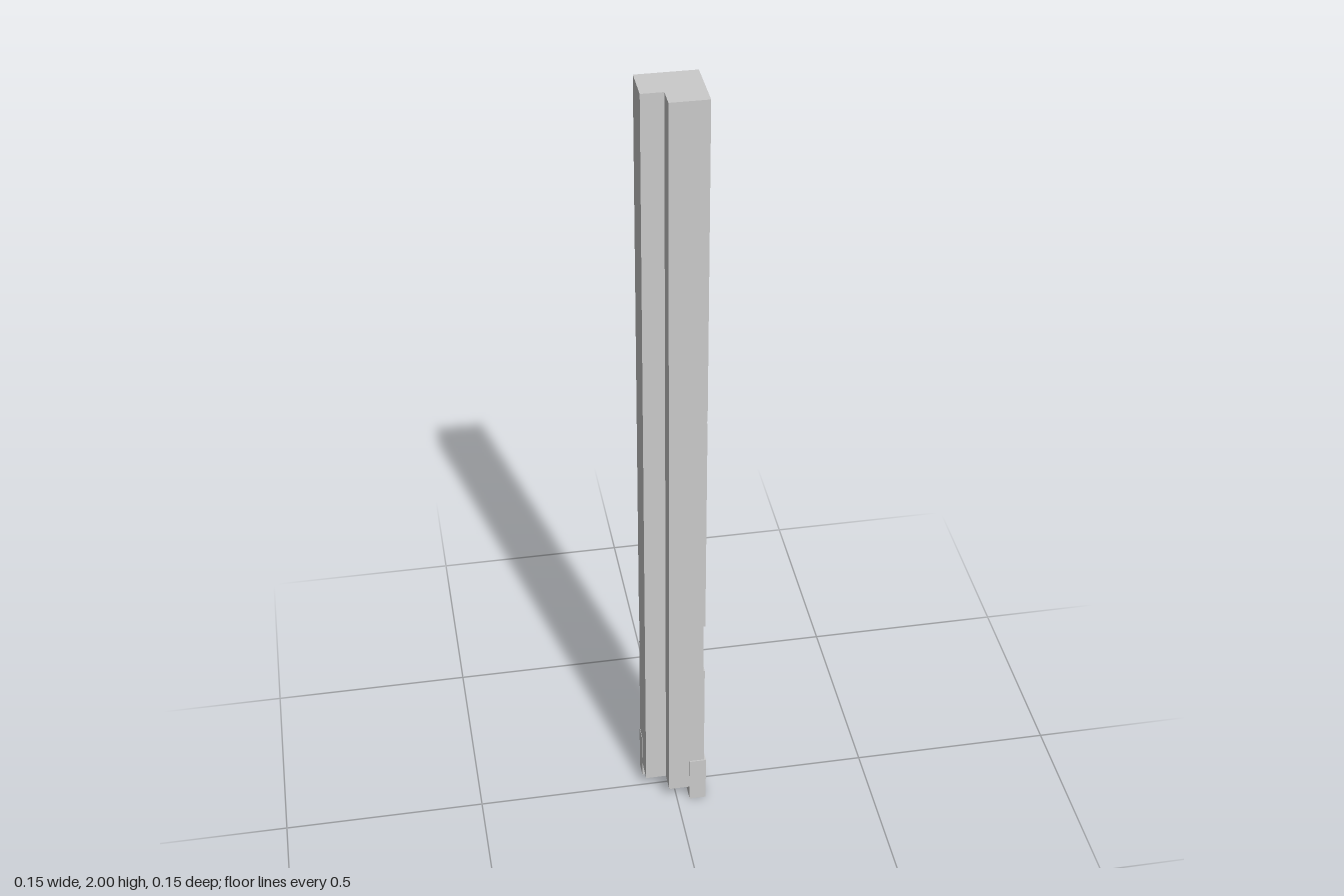
import * as THREE from 'three';

// Notched L outline as [x, z], counter-clockwise from above; inset pulls in the two outer faces
const outline = (inset) => {
  const x = 0.069 - inset, z = -0.071 + inset;
  return [[-0.073, 0.02], [-0.021, 0.02], [-0.021, 0.07], [x, 0.07], [x, z], [-0.073, z]];
};

// Flat-sided loft through [height, inset] rings, capped at both ends
function loft(levels) {
  const pos = [];
  const rings = levels.map(([y, inset]) => outline(inset).map(([x, z]) => [x, y, z]));
  for (let k = 0; k < rings.length - 1; k++) {
    const lo = rings[k], hi = rings[k + 1];
    lo.forEach((a, i) => {
      const j = (i + 1) % lo.length;
      pos.push(...a, ...lo[j], ...hi[j], ...a, ...hi[j], ...hi[i]);
    });
  }
  const top = rings[rings.length - 1], bottom = rings[0];
  const faces = THREE.ShapeUtils.triangulateShape(top.map((p) => new THREE.Vector2(p[0], -p[2])), []);
  for (const [a, b, c] of faces) {
    pos.push(...top[a], ...top[b], ...top[c], ...bottom[a], ...bottom[c], ...bottom[b]);
  }
  const geometry = new THREE.BufferGeometry();
  geometry.setAttribute('position', new THREE.Float32BufferAttribute(pos, 3));
  geometry.computeVertexNormals();
  return geometry;
}

export function createModel() {
  const group = new THREE.Group();
  const material = new THREE.MeshStandardMaterial({ color: 0xcccccc, flatShading: true });

  // Post with a shallow recessed band and a fine V-groove on its two outer faces
  const post = new THREE.Mesh(loft([
    [0.04, 0], [0.43, 0], [0.43, 0.004], [0.575, 0.004], [0.575, 0],
    [1.177, 0], [1.182, 0.004], [1.187, 0], [2, 0],
  ]), material);
  post.name = 'cornerPost';
  group.add(post);

  // L-shaped foot wrapping the outer corner, reaching below the post
  const shape = new THREE.Shape([
    [0.032, -0.073], [0.074, -0.073], [0.074, 0.075],
    [-0.074, 0.075], [-0.074, 0.036], [0.032, 0.036],
  ].map(([x, y]) => new THREE.Vector2(x, y)));
  const footGeometry = new THREE.ExtrudeGeometry(shape, { depth: 0.13, bevelEnabled: false });
  footGeometry.rotateX(-Math.PI / 2);
  const foot = new THREE.Mesh(footGeometry, material);
  foot.name = 'cornerFoot';
  group.add(foot);

  return group;
}
